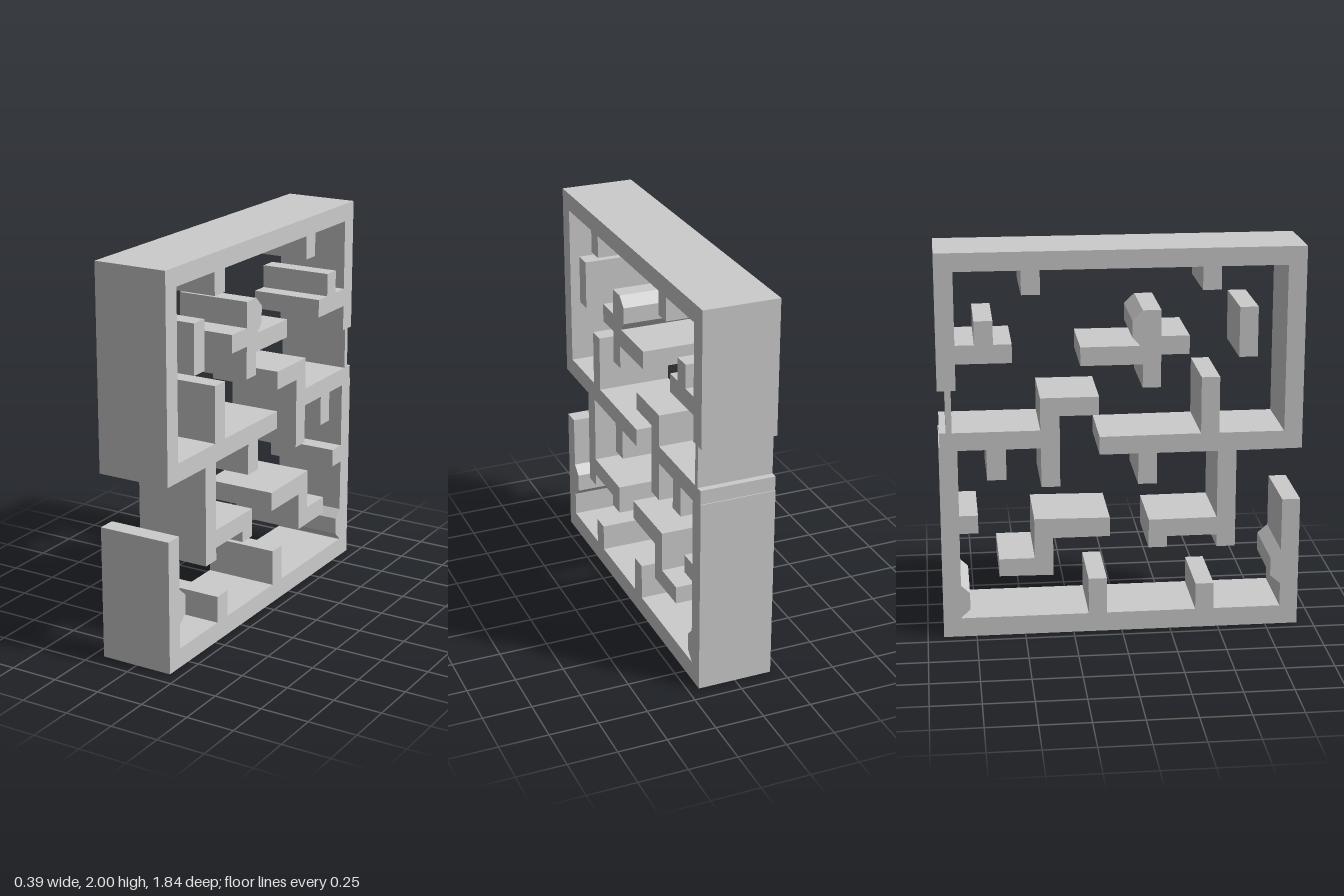
import * as THREE from 'three';

const WIDTH = 0.387;

// Each outline lists [z, y] corners and is extruded across the full width in x.
const OUTLINES = {
  // roof, upper front wall, upper back wall with ledge, and the front shelf hanging from it
  upperFrame: [
    [.918, .96], [.918, 2], [-.918, 2], [-.918, 1.31], [-.825, 1.31], [-.825, 1.445],
    // back ledge with a stub
    [-.545, 1.445], [-.545, 1.54], [-.637, 1.54], [-.637, 1.66], [-.73, 1.66], [-.73, 1.54], [-.825, 1.54],
    // ceiling with two stubs
    [-.825, 1.907], [-.496, 1.907], [-.496, 1.785], [-.403, 1.785], [-.403, 1.907],
    [.4, 1.907], [.4, 1.79], [.493, 1.79], [.493, 1.907], [.825, 1.907],
    // middle shelf, with a post above and branches below
    [.825, 1.053], [.493, 1.053], [.493, 1.345], [.4, 1.345], [.4, 1.053], [-.113, 1.05], [-.113, .957],
    [.082, .957], [.082, .795], [.178, .795], [.178, .957],
    [.487, .957], [.487, .602], [.137, .6], [.137, .45], [.232, .45], [.232, .508],
    [.487, .508], [.487, .443], [.583, .443], [.583, .957],
  ],
  // floor, lower front wall, lower back wall and the back shelf
  lowerFrame: [
    [.918, 0], [-.918, 0], [-.918, 1.02], [-.913, 1.02], [-.913, 1.093],
    // back shelf with a raised arm and hanging stubs
    [-.41, 1.093], [-.41, 1.26], [-.115, 1.26], [-.115, 1.165], [-.313, 1.165], [-.313, .795], [-.408, .795],
    [-.408, 1], [-.583, 1], [-.583, .84], [-.68, .84], [-.68, 1], [-.825, 1],
    // back wall stub and bevelled bump
    [-.825, .655], [-.73, .655], [-.73, .56], [-.825, .56], [-.825, .28], [-.78, .237], [-.78, .148], [-.825, .105],
    // floor with two stubs
    [-.825, .1], [-.172, .1], [-.172, .29], [-.077, .29], [-.077, .1],
    [.382, .1], [.382, .24], [.477, .24], [.477, .1], [.825, .1],
    // front wall bevelled bump
    [.825, .225], [.772, .27], [.772, .365], [.825, .41], [.825, .685], [.918, .685],
  ],
  thinDoor: [[-.85, 1.093], [-.88, 1.093], [-.88, 1.31], [-.85, 1.31]],
  floatingPost: [[.68, 1.445], [.587, 1.445], [.587, 1.7], [.68, 1.7]],
  floatingCross: [
    [.195, 1.695], [.103, 1.695], [.05, 1.645], [.05, 1.56], [.09, 1.515], [-.208, 1.515], [-.208, 1.42],
    [.103, 1.42], [.103, 1.3], [.195, 1.3], [.195, 1.468], [.337, 1.468], [.337, 1.562], [.195, 1.562],
  ],
  floatingStep: [
    [-.062, .62], [-.447, .625], [-.447, .415], [-.628, .415], [-.628, .323],
    [-.352, .32], [-.352, .52], [-.062, .52],
  ],
};

export function createModel() {
  const model = new THREE.Group();
  model.name = 'mazePanel';
  const material = new THREE.MeshStandardMaterial({ color: 0xcccccc, flatShading: true });

  for (const [name, corners] of Object.entries(OUTLINES)) {
    const shape = new THREE.Shape(corners.map(([z, y]) => new THREE.Vector2(z, y)));
    const geometry = new THREE.ExtrudeGeometry(shape, { depth: WIDTH, bevelEnabled: false });
    // turn the outline so it lies in the z-y plane, centred on x = 0
    geometry.translate(0, 0, -WIDTH / 2).rotateY(-Math.PI / 2);
    const mesh = new THREE.Mesh(geometry, material);
    mesh.name = name;
    model.add(mesh);
  }
  return model;
}
